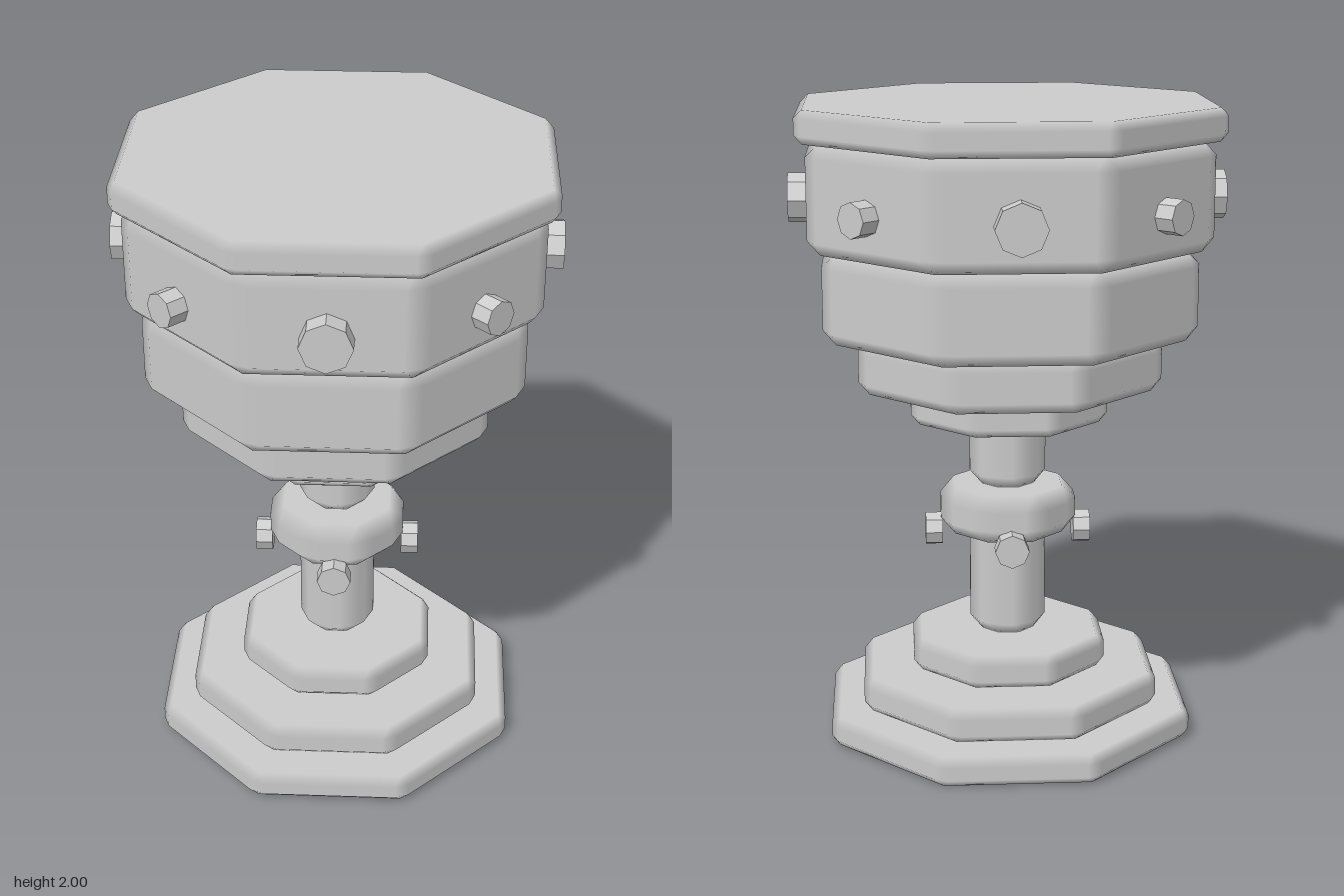
import * as THREE from 'three';

const SIDES = 8;
const STEP = (Math.PI * 2) / SIDES;
const TAN = Math.tan(STEP / 2);

// Octagonal block with every edge chamfered by b; flat panels, softly shaded chamfers
function bevelledOctagon(apothem, y0, y1, b) {
  const pos = [], nor = [], idx = [];
  const half = apothem * TAN - b;
  const inner = apothem - b;
  const quad = (a, c, d, e) => idx.push(a, c, d, a, d, e);
  for (let i = 0; i < SIDES; i++) {
    const s = Math.sin(i * STEP), c = Math.cos(i * STEP);
    const add = (out, along, y, n) => {
      pos.push(s * out + c * along, y, c * out - s * along);
      nor.push(...n);
    };
    // side panel corners, then the cap corners it shares with the next side
    add(apothem, -half, y0 + b, [s, 0, c]);
    add(apothem, half, y0 + b, [s, 0, c]);
    add(apothem, half, y1 - b, [s, 0, c]);
    add(apothem, -half, y1 - b, [s, 0, c]);
    add(inner, inner * TAN, y1, [0, 1, 0]);
    add(inner, inner * TAN, y0, [0, -1, 0]);

    const o = i * 6;
    const p = ((i + SIDES - 1) % SIDES) * 6;
    const q = ((i + 1) % SIDES) * 6;
    quad(o, o + 1, o + 2, o + 3);              // panel
    quad(o + 3, o + 2, o + 4, p + 4);          // upper chamfer
    quad(p + 5, o + 5, o + 1, o);              // lower chamfer
    quad(o + 1, q, q + 3, o + 2);              // upright chamfer
    idx.push(o + 2, q + 3, o + 4, o + 5, q, o + 1); // corner triangles
    if (i > 0 && i < SIDES - 1) idx.push(4, o + 4, q + 4, 5, q + 5, o + 5); // caps
  }
  const g = new THREE.BufferGeometry();
  g.setAttribute('position', new THREE.Float32BufferAttribute(pos, 3));
  g.setAttribute('normal', new THREE.Float32BufferAttribute(nor, 3));
  g.setIndex(idx);
  return g;
}

// Short faceted stud pointing outwards along +z, from distance z0 to z1
function studGeometry(radius, z0, z1) {
  const g = new THREE.CylinderGeometry(radius, radius, z1 - z0, 8)
    .rotateX(Math.PI / 2)
    .translate(0, 0, (z0 + z1) / 2)
    .toNonIndexed();
  g.computeVertexNormals();
  return g;
}

export function createModel() {
  const group = new THREE.Group();
  const stone = new THREE.MeshStandardMaterial({ color: 0xcccccc });
  stone.name = 'plain grey';

  const add = (name, geometry) => {
    const mesh = new THREE.Mesh(geometry, stone);
    mesh.name = name;
    group.add(mesh);
    return mesh;
  };

  // Stacked blocks: name, apothem, bottom, top, chamfer
  const blocks = [
    ['baseLower', 0.568, 0.005, 0.092, 0.025],
    ['baseMiddle', 0.465, 0.095, 0.202, 0.027],
    ['baseUpper', 0.305, 0.205, 0.31, 0.027],
    ['stemLower', 0.12, 0.31, 0.655, 0.04],
    ['stemKnot', 0.213, 0.645, 0.797, 0.045],
    ['stemUpper', 0.12, 0.797, 1.017, 0.04],
    ['bowlFoot', 0.305, 1.017, 1.125, 0.027],
    ['bowlStep', 0.465, 1.13, 1.293, 0.035],
    ['bowlLower', 0.568, 1.295, 1.567, 0.04],
    ['bowlUpper', 0.608, 1.57, 1.898, 0.04],
    ['rim', 0.638, 1.9, 2.0, 0.025],
  ];
  for (const [name, r, y0, y1, b] of blocks) {
    // the lowest block rests on the ground
    add(name, bevelledOctagon(r, name === 'baseLower' ? 0 : y0, y1, b));
  }

  // Studs around the bowl, large on the axes and small on the diagonals
  const largeStud = studGeometry(0.076, 0.59, 0.67);
  const smallStud = studGeometry(0.053, 0.59, 0.67);
  for (let i = 0; i < SIDES; i++) {
    const stud = add('bowlStud', i % 2 ? smallStud : largeStud);
    stud.position.y = 1.71;
    stud.rotation.y = i * STEP;
  }

  // Four studs below the stem knot
  const stemStud = studGeometry(0.053, 0.208, 0.262);
  for (let i = 0; i < 4; i++) {
    const stud = add('stemStud', stemStud);
    stud.position.y = 0.643;
    stud.rotation.y = (i * Math.PI) / 2;
  }

  return group;
}
